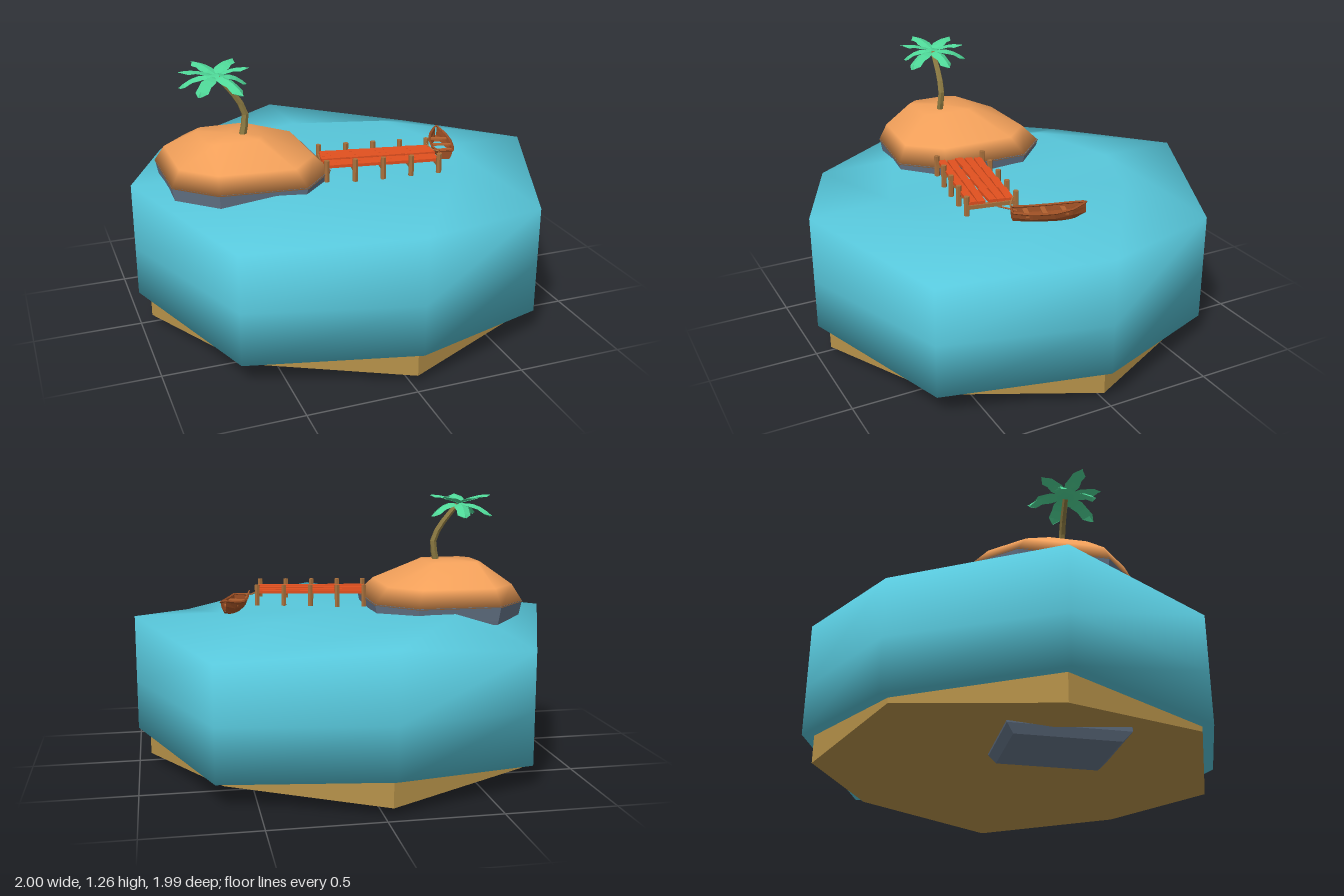
import * as THREE from 'three';

const mat = (color, flatShading = true, side = THREE.FrontSide) =>
  new THREE.MeshStandardMaterial({ color, flatShading, side });
const WATER = mat(0x58c8dc, false), SEABED = mat(0xb8934a), SAND = mat(0xf2a05a, false), ROCK = mat(0x66768a);
const BARK = mat(0x8c7a42), LEAF = mat(0x4fd898, true, THREE.DoubleSide);
const PLANK = mat(0xe2501f), POST = mat(0xa8703c), HULL = mat(0x9c4f24, true, THREE.DoubleSide), TRIM = mat(0xb3622f);

const add = (parent, name, geo, material, x = 0, y = 0, z = 0) => {
  const m = new THREE.Mesh(geo, material);
  m.name = name;
  m.position.set(x, y, z);
  parent.add(m);
  return m;
};

const build = (pos, idx) => {
  const g = new THREE.BufferGeometry();
  g.setAttribute('position', new THREE.Float32BufferAttribute(pos.flat(), 3));
  g.setIndex(idx);
  g.computeVertexNormals();
  return g;
};

// Closed solid through rings of [x, y, z], bottom to top, capped at both ends
function loft(rings, bottomY, topY) {
  const n = rings[0].length, pos = rings.flat(), idx = [], last = (rings.length - 1) * n;
  const middle = (ring, y) => [ring.reduce((s, p) => s + p[0], 0) / n, y, ring.reduce((s, p) => s + p[2], 0) / n];
  const lo = pos.push(middle(rings[0], bottomY)) - 1;
  const hi = pos.push(middle(rings[rings.length - 1], topY)) - 1;
  for (let i = 0; i < n; i++) {
    const j = (i + 1) % n;
    for (let r = 0; r < last; r += n) idx.push(r + i, r + n + i, r + j, r + j, r + n + i, r + n + j);
    idx.push(lo, i, j, hi, last + j, last + i);
  }
  return build(pos, idx);
}

// Open sheet through rows of points
function sheet(rows) {
  const n = rows[0].length, idx = [];
  for (let r = 0; r < rows.length - 1; r++)
    for (let i = 0; i < n - 1; i++) {
      const a = r * n + i, b = a + n;
      idx.push(a, b, a + 1, a + 1, b, b + 1);
    }
  return build(rows.flat(), idx);
}

// Octagon outline of the sea; odd corners are the diagonal ones
const OCT = [[-0.04, -1], [0.68, -0.71], [1, 0], [0.73, 0.7], [0.03, 0.99], [-0.69, 0.7], [-1, 0], [-0.73, -0.71]];
const seaRing = (scale, axisY, diagY) => OCT.map(([x, z], i) => [x * scale, i % 2 ? diagY : axisY, z * scale]);

// Outline of the island shore
const SHORE = [[-0.69, -0.35], [-0.29, -0.35], [-0.12, -0.18], [-0.12, 0.25],
  [-0.29, 0.43], [-0.68, 0.385], [-0.855, 0.22], [-0.855, -0.18]];
const shoreRing = (y, s) => SHORE.map(([x, z]) => [-0.49 + (x + 0.49) * s, y, 0.04 + (z - 0.04) * s]);
// Eight points paired up on the corners of a rectangle
const boxRing = (y, x0, x1, z0, z1) =>
  [[x0, z0], [x1, z0], [x1, z0], [x1, z1], [x1, z1], [x0, z1], [x0, z1], [x0, z0]].map(([x, z]) => [x, y, z]);

function makeIsland() {
  const g = new THREE.Group();
  g.name = 'island';
  add(g, 'rockBase', loft([boxRing(0, -0.67, -0.3, -0.16, 0.3), boxRing(0.04, -0.69, -0.28, -0.19, 0.34),
    shoreRing(0.5, 0.85), shoreRing(0.69, 0.96), shoreRing(0.76, 0.995)], 0, 0.76), ROCK);
  const crest = [[-0.66, -0.05], [-0.45, -0.05], [-0.42, -0.01], [-0.42, 0.16],
    [-0.45, 0.22], [-0.65, 0.22], [-0.69, 0.17], [-0.69, 0]].map(([x, z]) => [x, 0.935, z]);
  const brow = shoreRing(0.84, 0).map((p, i) =>
    [0.75 * SHORE[i][0] + 0.25 * crest[i][0], 0.835, 0.75 * SHORE[i][1] + 0.25 * crest[i][2]]);
  add(g, 'sandMound', loft([shoreRing(0.755, 1), brow, crest], 0.755, 0.94), SAND);
  return g;
}

function makePalm() {
  const g = new THREE.Group();
  g.name = 'palm';
  const V = (x, y, z) => new THREE.Vector3(x, y, z);
  // Bent trunk, thinner towards the crown
  const path = new THREE.CatmullRomCurve3([V(-0.5, 0.92, 0.115), V(-0.482, 1.03, 0.11), V(-0.52, 1.11, 0.105), V(-0.6, 1.21, 0.1)]);
  const trunk = new THREE.TubeGeometry(path, 6, 0.017, 6);
  const p = trunk.attributes.position, v = V(0, 0, 0);
  for (let i = 0; i < p.count; i++) {
    const t = Math.floor(i / 7) / 6, c = path.getPointAt(t);
    v.fromBufferAttribute(p, i).sub(c).multiplyScalar(1.05 - 0.3 * t).add(c);
    p.setXYZ(i, v.x, v.y, v.z);
  }
  add(g, 'trunk', trunk, BARK);
  // Two tiers of jagged fronds
  const frond = (len, rise, droop) => sheet([0, 0.25, 0.45, 0.65, 0.85, 1].map((t, i) => {
    const w = [0.005, 0.026, 0.036, 0.03, 0.032, 0.006][i], y = rise * t - droop * t * t;
    return [[t * len - 0.012, y - w * 0.35, -w], [t * len, y, 0], [t * len - 0.012, y - w * 0.35, w]];
  }));
  for (let i = 0; i < 10; i++) {
    const upper = i % 2;
    const f = add(g, 'frond', frond(0.155 + 0.012 * (i % 3), upper ? 0.1 : 0.05, upper ? 0.06 : 0.105),
      LEAF, -0.61, upper ? 1.215 : 1.21, 0.1);
    f.rotation.y = i * Math.PI / 5 + 0.2;
  }
  return g;
}

function makeDock() {
  const g = new THREE.Group();
  g.name = 'dock';
  const bay = 0.132, spread = 0.114, rot = -0.17;
  g.position.set(-0.135, 0, 0.175);
  g.rotation.y = rot;
  for (let r = 0; r < 5; r++) {
    // Post pair with its cross beam
    for (const s of [-1, 1]) {
      add(g, 'post', new THREE.CylinderGeometry(0.013, 0.013, 0.12, 6), POST, r * bay, 0.762, s * spread);
    }
    add(g, 'crossBeam', new THREE.BoxGeometry(0.018, 0.018, 0.24), POST, r * bay, 0.77, 0);
    if (r === 4) continue;
    // Slightly uneven boards for each bay
    for (let k = 0; k < 5; k++) {
      const wob = ((r * 5 + k) * 7 % 5 - 2) / 2;
      const b = add(g, 'board', new THREE.BoxGeometry(bay + 0.008 + 0.008 * wob, 0.014, 0.036), PLANK,
        (r + 0.5) * bay, 0.787 + 0.003 * wob, (k - 2) * 0.044);
      b.rotation.y = 0.05 * wob;
    }
  }
  return g;
}

function makeBoat() {
  const g = new THREE.Group();
  g.name = 'boat';
  g.position.set(0.53, 0.705, 0.055);
  g.rotation.y = -0.31;
  // Stations from stern to bow: z, half width, rim height, keel height
  const st = [[0.165, 0.036, 0.064, 0.014], [0.08, 0.05, 0.055, 0.003], [-0.02, 0.052, 0.055, 0],
    [-0.1, 0.038, 0.064, 0.006], [-0.168, 0.004, 0.08, 0.03]];
  const section = ([z, w, t, k]) => [[-w, t, z], [-w * 0.88, (t + k) / 2, z], [-w * 0.5, k, z],
    [w * 0.5, k, z], [w * 0.88, (t + k) / 2, z], [w, t, z]];
  add(g, 'hull', sheet(st.map(section)), HULL);
  const end = section(st[0]);
  add(g, 'transom', sheet([end.slice(0, 3), end.slice(3).reverse()]), HULL);
  // Rim around the top edge
  const rim = [...st.map(([z, w, t]) => new THREE.Vector3(w, t, z)),
    ...st.map(([z, w, t]) => new THREE.Vector3(-w, t, z)).reverse()];
  const loop = new THREE.CurvePath();
  rim.forEach((a, i) => loop.add(new THREE.LineCurve3(a, rim[(i + 1) % rim.length])));
  add(g, 'rim', new THREE.TubeGeometry(loop, 40, 0.006, 4, true), HULL);
  for (const [z, w] of [[0.1, 0.09], [0.02, 0.096], [-0.07, 0.082]]) {
    add(g, 'seat', new THREE.BoxGeometry(w, 0.007, 0.022), TRIM, 0, 0.045, z);
  }
  // Tiller trailing behind the stern
  const tiller = add(g, 'tiller', new THREE.CylinderGeometry(0.004, 0.004, 0.09, 5), TRIM, -0.03, 0.06, 0.18);
  tiller.rotation.x = Math.PI / 2 - 0.3;
  return g;
}

export function createModel() {
  const model = new THREE.Group();
  model.name = 'islandDiorama';
  // Rippled block of sea
  add(model, 'sea', loft([seaRing(1, 0.165, 0.1), seaRing(1, 0.4, 0.35), seaRing(1, 0.71, 0.62),
    seaRing(0.6, 0.715, 0.735)], 0.165, 0.71), WATER);
  add(model, 'seabed', loft([seaRing(0.945, 0.035, 0.08), seaRing(0.945, 0.2, 0.2)], 0.035, 0.2), SEABED);
  model.add(makeIsland(), makePalm(), makeDock(), makeBoat());
  // Mooring rope from the last post to the stern
  const rope = new THREE.QuadraticBezierCurve3(new THREE.Vector3(0.4, 0.8, 0.16),
    new THREE.Vector3(0.42, 0.76, 0.2), new THREE.Vector3(0.46, 0.77, 0.2));
  add(model, 'rope', new THREE.TubeGeometry(rope, 8, 0.004, 5), POST);
  return model;
}
